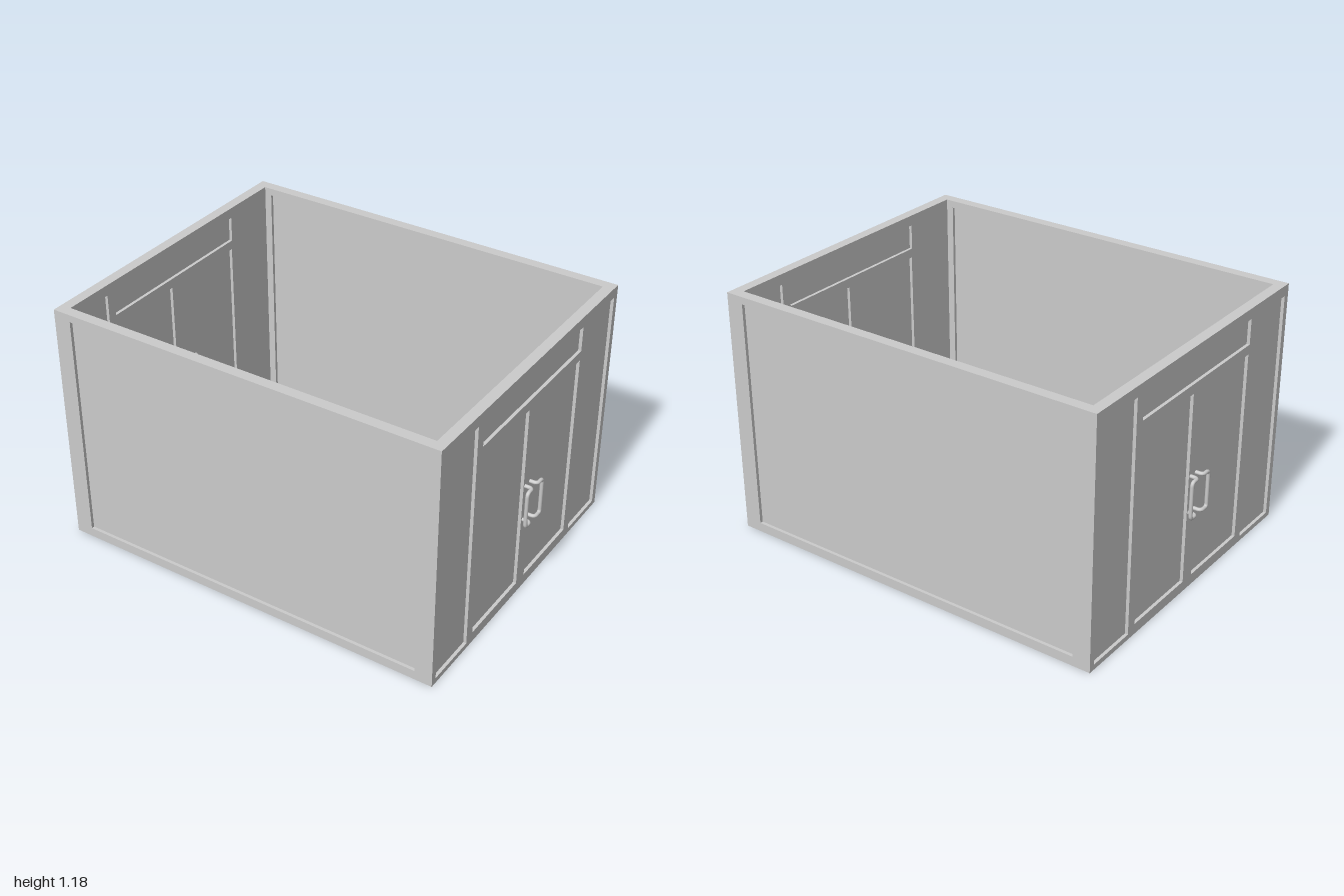
import * as THREE from 'three';

const H = 1.18, T = 0.05, X = 0.955, Z = 0.76, GLASS = 0.02;
const mat = new THREE.MeshStandardMaterial({ color: 0xcccccc });

function add(parent, name, geometry, x = 0, y = 0, z = 0) {
  const mesh = new THREE.Mesh(geometry, mat);
  mesh.name = name;
  mesh.position.set(x, y, z);
  parent.add(mesh);
}

// Wall in its own XY plane, centred on z = 0; openings are [x0, y0, x1, y1]
function wall(name, outline, openings, panes) {
  const group = new THREE.Group();
  group.name = name;
  const shape = new THREE.Shape(outline.map(([x, y]) => new THREE.Vector2(x, y)));
  for (const [a, b, c, d] of openings) {
    shape.holes.push(new THREE.Path([[a, b], [a, d], [c, d], [c, b]].map(([x, y]) => new THREE.Vector2(x, y))));
  }
  const frame = new THREE.ExtrudeGeometry(shape, { depth: T, bevelEnabled: false });
  add(group, 'frame', frame, 0, 0, -T / 2);
  for (const [a, b, c, d] of panes) {
    add(group, 'pane', new THREE.BoxGeometry(c - a, d - b, GLASS), (a + c) / 2, (b + d) / 2, 0);
  }
  return group;
}

// Bent-bar pull handle with rounded corners
function handleGeometry(sx, sz) {
  const pts = [[0.02, 0.572, 0.022], [0.066, 0.572, 0.022], [0.066, 0.572, 0.067],
    [0.066, 0.395, 0.067], [0.066, 0.395, 0.022], [0.02, 0.395, 0.022]]
    .map(([x, y, z]) => new THREE.Vector3(x * sx, y, z * sz));
  const path = new THREE.CurvePath();
  let from = pts[0];
  for (let i = 1; i < pts.length - 1; i++) {
    const p = pts[i];
    const toward = (q) => p.clone().add(q.clone().sub(p).setLength(0.018));
    const before = toward(pts[i - 1]), after = toward(pts[i + 1]);
    path.add(new THREE.LineCurve3(from, before));
    path.add(new THREE.QuadraticBezierCurve3(before, p, after));
    from = after;
  }
  path.add(new THREE.LineCurve3(from, pts[pts.length - 1]));
  return new THREE.TubeGeometry(path, 72, 0.009, 12, false);
}

export function createModel() {
  const model = new THREE.Group();
  model.name = 'glassRoom';

  // Front and back walls: one large recessed pane each
  const w = X - T;
  const big = [[-0.87, 0.045, 0.87, 1.145]];
  for (const s of [1, -1]) {
    const g = wall(s > 0 ? 'frontWall' : 'backWall', [[-w, 0], [w, 0], [w, H], [-w, H]], big, big);
    g.position.z = s * (Z - T / 2);
    model.add(g);
  }

  // Side walls: double door, transom and two sidelights
  const doors = [[-0.425, 0.05, -0.035, 0.965], [0.035, 0.05, 0.425, 0.965]];
  const transom = [-0.43, 1.01, 0.43, 1.13];
  const sidelights = [[-0.73, 0.025, -0.475, 1.13], [0.475, 0.025, 0.73, 1.13]];
  const outline = [[-Z, 0], [-0.73, 0], [-0.73, 1.13], [-0.475, 1.13], [-0.475, 0],
    [0.475, 0], [0.475, 1.13], [0.73, 1.13], [0.73, 0], [Z, 0], [Z, H], [-Z, H]];
  for (const s of [1, -1]) {
    const g = wall(s > 0 ? 'leftDoorWall' : 'rightDoorWall', outline,
      [...doors, transom], [...doors, transom, ...sidelights]);
    // Split bottom rails under the sidelights
    for (const m of [1, -1]) for (const k of [1, -1]) {
      add(g, 'sidelightRail', new THREE.BoxGeometry(0.255, 0.025, 0.018), m * 0.6025, 0.0125, k * 0.016);
    }
    g.rotation.y = Math.PI / 2;
    g.position.x = s * (X - T / 2);
    model.add(g);

    // Pull handles inside and outside on both leaves
    for (const sx of [1, -1]) for (const sz of [1, -1]) {
      add(model, 'doorHandle', handleGeometry(sx, sz), s * (X - T / 2) + sx * -0.005 * (sx === s ? 1 : 0));
    }
  }
  return model;
}
